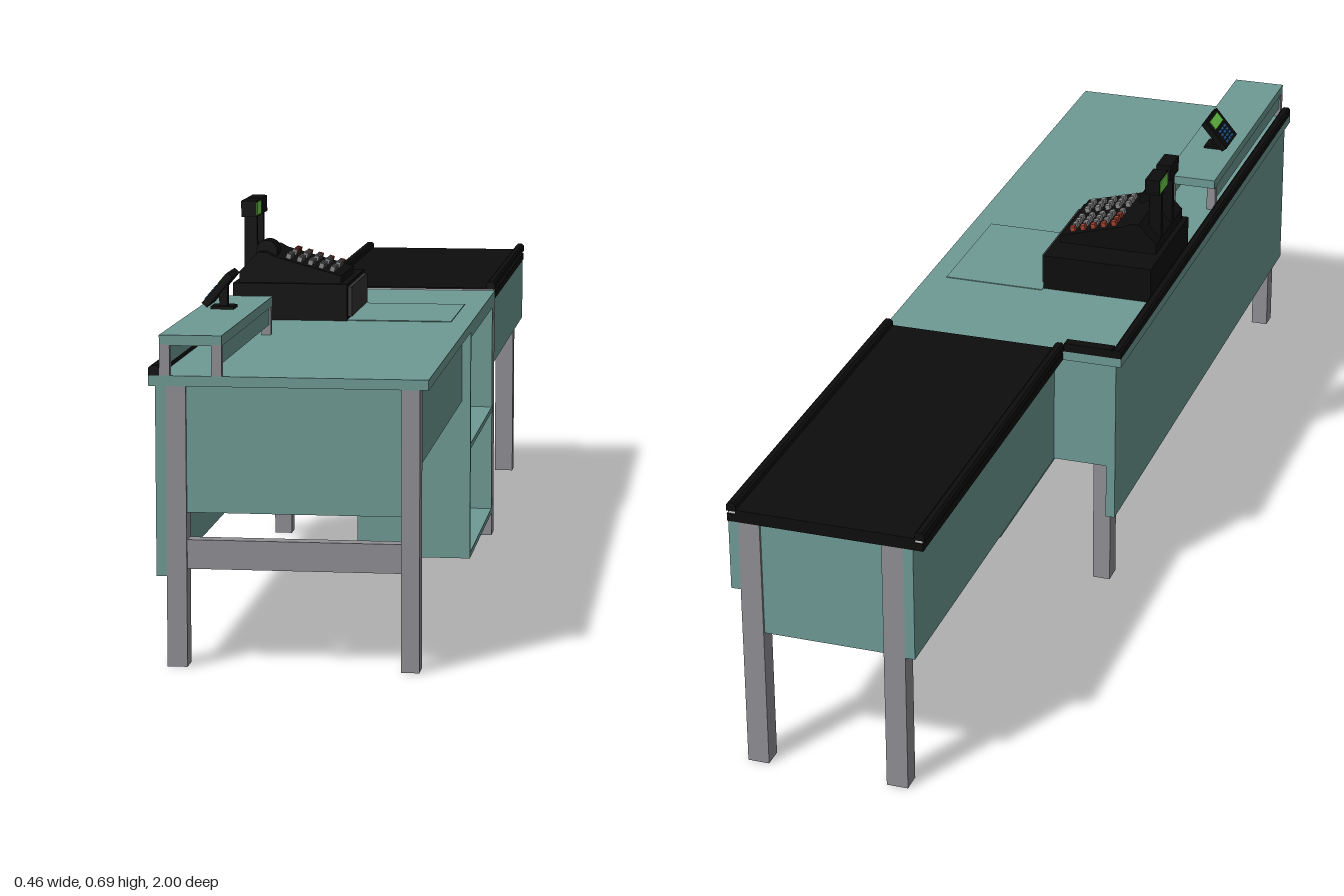
import * as THREE from 'three';

const mat = (color) => new THREE.MeshStandardMaterial({ color });
const TEAL = mat(0x6e9a94), GREY = mat(0x8f8f94), BLACK = mat(0x0d0d0d), DARK = mat(0x333333);
const LIGHT = mat(0xcccccc), KEY = mat(0x8a8a8a), RED = mat(0xa04030), GREEN = mat(0x6fd04a), BLUE = mat(0x2a6fb0);

// Box given by its min and max along each axis
function box(parent, name, m, x0, x1, y0, y1, z0, z1) {
  const mesh = new THREE.Mesh(new THREE.BoxGeometry(x1 - x0, y1 - y0, z1 - z0), m);
  mesh.position.set((x0 + x1) / 2, (y0 + y1) / 2, (z0 + z1) / 2);
  mesh.name = name;
  parent.add(mesh);
  return mesh;
}

function group(parent, name) {
  const g = new THREE.Group();
  g.name = name;
  parent.add(g);
  return g;
}

// Profile in x/y, extruded along z
function prism(parent, name, m, points, z0, z1) {
  const shape = new THREE.Shape(points.map(([x, y]) => new THREE.Vector2(x, y)));
  const mesh = new THREE.Mesh(new THREE.ExtrudeGeometry(shape, { depth: z1 - z0, bevelEnabled: false }), m);
  mesh.position.z = z0;
  mesh.name = name;
  parent.add(mesh);
  return mesh;
}

// Rail with softened top edges, running along z
function rail(parent, name, x0, x1, y0, y1, z0, z1) {
  const c = 0.004;
  return prism(parent, name, BLACK,
    [[x0, y0], [x1, y0], [x1, y1 - c], [x1 - c, y1], [x0 + c, y1], [x0, y1 - c]], z0, z1);
}

function buildCounter(root) {
  const g = group(root, 'counter');
  box(g, 'countertop', TEAL, -0.228, 0.227, 0.462, 0.479, -0.25, 1);
  box(g, 'scannerPlate', TEAL, 0, 0.19, 0.479, 0.4805, -0.01, 0.255);
  box(g, 'customerPanel', TEAL, -0.217, -0.2, 0.15, 0.462, -0.245, 1);
  box(g, 'endPanel', TEAL, -0.167, 0.183, 0.255, 0.462, 0.975, 0.995);
  box(g, 'cashierApron', TEAL, 0.197, 0.211, 0.335, 0.462, 0.265, 0.965);
  box(g, 'conveyorSidePanel', TEAL, -0.2, -0.1, 0.255, 0.462, -0.245, -0.23);
  rail(g, 'customerRail', -0.228, -0.21, 0.479, 0.495, -0.25, 1);
  box(g, 'cornerRail', BLACK, -0.21, -0.12, 0.479, 0.495, -0.25, -0.23);

  // Legs and stretcher
  box(g, 'leg', GREY, -0.2, -0.167, 0, 0.462, 0.963, 1);
  box(g, 'leg', GREY, 0.183, 0.213, 0, 0.462, 0.963, 1);
  box(g, 'leg', GREY, -0.2, -0.167, 0, 0.462, -0.215, -0.178);
  box(g, 'leg', GREY, 0.19, 0.227, 0, 0.462, -0.242, -0.203);
  box(g, 'stretcher', GREY, -0.167, 0.183, 0.162, 0.21, 0.968, 0.995);
}

function buildCabinet(root) {
  // Shelf unit open toward the cashier
  const g = group(root, 'cabinet'), t = 0.01;
  const [x0, x1, z0, z1] = [0.02, 0.227, -0.202, 0.265];
  box(g, 'cabinetBack', TEAL, x0, x0 + t, 0.045, 0.462, z0, z1);
  for (const z of [z0, z1 - t]) box(g, 'cabinetSide', TEAL, x0 + t, x1, 0.045, 0.462, z, z + t);
  for (const y of [0.045, 0.247, 0.452]) box(g, 'cabinetShelf', TEAL, x0 + t, x1, y, y + t, z0 + t, z1 - t);
}

function buildConveyor(root) {
  const g = group(root, 'conveyor');
  box(g, 'bed', BLACK, -0.118, 0.226, 0.462, 0.476, -1, -0.25);
  box(g, 'beltTrim', LIGHT, -0.116, 0.224, 0.476, 0.481, -0.998, -0.25);
  box(g, 'belt', BLACK, -0.103, 0.211, 0.476, 0.484, -1, -0.25);
  for (const x of [-0.12, 0.21]) rail(g, 'beltRail', x, x + 0.017, 0.481, 0.496, -1, -0.25);
  box(g, 'cashierApron', TEAL, 0.207, 0.224, 0.335, 0.462, -1, -0.242);
  box(g, 'customerApron', TEAL, -0.1, -0.083, 0.255, 0.462, -1, -0.245);
  box(g, 'endPanel', TEAL, -0.083, 0.207, 0.255, 0.462, -0.995, -0.978);
  for (const x of [-0.083, 0.169]) box(g, 'leg', GREY, x, x + 0.038, 0, 0.462, -1, -0.964);
}

function buildPackingShelf(root) {
  const g = group(root, 'raisedShelf');
  box(g, 'shelfTop', TEAL, -0.21, -0.108, 0.528, 0.545, 0.45, 1);
  for (const x of [-0.21, -0.125]) {
    for (const z of [0.458, 0.985]) box(g, 'shelfPost', GREY, x, x + 0.017, 0.479, 0.53, z, z + 0.015);
    box(g, 'shelfApron', TEAL, x + 0.003, x + 0.014, 0.497, 0.53, 0.473, 0.985);
  }
}

function buildCardReader(root) {
  const g = group(root, 'cardReader');
  box(g, 'readerFoot', BLACK, -0.185, -0.145, 0.545, 0.55, 0.61, 0.65);
  box(g, 'readerStem', BLACK, -0.172, -0.158, 0.548, 0.585, 0.622, 0.638);
  // Tilted head; local +y faces up and toward the customer
  const head = group(g, 'readerHead');
  head.position.set(-0.175, 0.584, 0.63);
  head.rotation.z = 0.87;
  box(head, 'readerBody', BLACK, -0.034, 0.034, -0.012, 0, -0.041, 0.041);
  box(head, 'readerScreen', GREEN, 0.008, 0.028, 0, 0.0015, -0.028, 0.028);
  for (let r = 0; r < 4; r++) for (let c = 0; c < 3; c++) {
    const x = -0.028 + r * 0.008, z = -0.022 + c * 0.017;
    box(head, 'readerKey', BLUE, x, x + 0.005, 0, 0.002, z, z + 0.011);
  }
}

function buildRegister(root) {
  const g = group(root, 'cashRegister');
  box(g, 'drawerCase', BLACK, -0.21, 0, 0.479, 0.546, 0, 0.26);
  box(g, 'drawerFront', DARK, 0, 0.007, 0.485, 0.54, 0.015, 0.245);
  prism(g, 'registerBody', BLACK,
    [[-0.2, 0.546], [-0.012, 0.546], [-0.012, 0.56], [-0.135, 0.594], [-0.15, 0.602], [-0.165, 0.602], [-0.2, 0.566]],
    0.07, 0.25);

  // Receipt printer hump
  const roll = new THREE.Mesh(new THREE.CylinderGeometry(0.02, 0.02, 0.045, 20), BLACK);
  roll.rotation.x = Math.PI / 2;
  roll.position.set(-0.152, 0.602, 0.21);
  roll.name = 'receiptPrinter';
  g.add(roll);

  // Keys on the sloping deck
  const deck = group(g, 'keyboard');
  deck.position.set(-0.135, 0.594, 0.07);
  deck.rotation.z = -Math.atan2(0.034, 0.123);
  for (let r = 0; r < 5; r++) for (let c = 0; c < 8; c++) {
    if (c === 4) continue;
    const x = 0.018 + r * 0.021, z = 0.012 + c * 0.019;
    box(deck, 'key', c === 0 || (r === 0 && c < 3) ? RED : KEY, x, x + 0.009, 0, 0.009, z, z + 0.012);
  }

  // Pole displays: one for the cashier, one for the customer
  for (const [z, side] of [[0.183, 1], [0.107, -1]]) {
    const d = group(g, side > 0 ? 'cashierDisplay' : 'customerDisplay');
    box(d, 'displayPole', BLACK, -0.2, -0.176, 0.546, 0.668, z - 0.006, z + 0.006);
    box(d, 'displayHead', BLACK, -0.202, -0.174, 0.662, 0.692, z - 0.028, z + 0.028);
    const x = side > 0 ? -0.174 : -0.2035;
    box(d, 'displayScreen', GREEN, x, x + 0.0015, 0.665, 0.689, z - 0.025, z + 0.025);
  }
}

export function createModel() {
  const root = new THREE.Group();
  root.name = 'checkoutCounter';
  buildCounter(root);
  buildCabinet(root);
  buildConveyor(root);
  buildPackingShelf(root);
  buildCardReader(root);
  buildRegister(root);
  return root;
}
